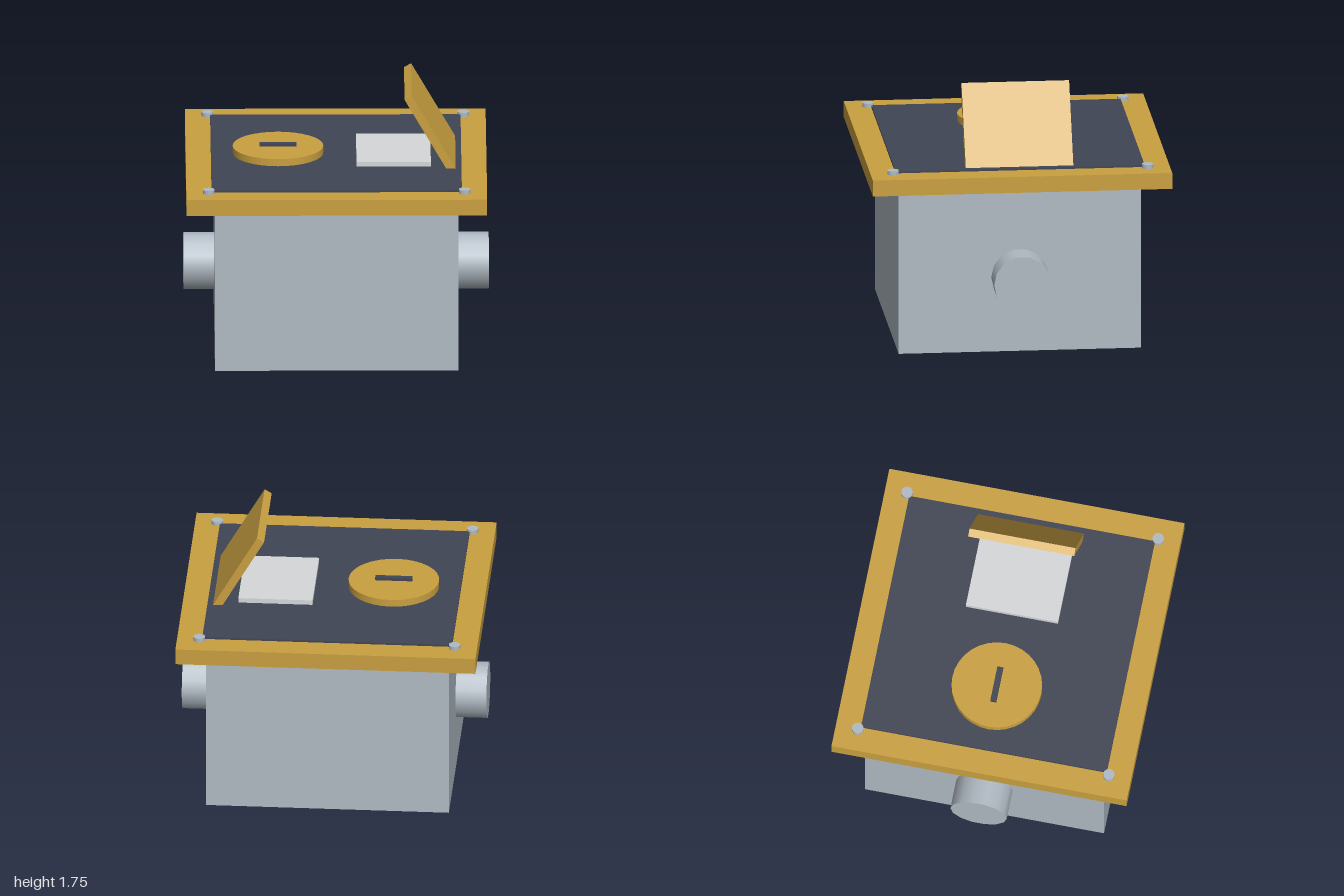
import * as THREE from 'three';

const material = (name, color) => {
  const m = new THREE.MeshStandardMaterial({ color });
  m.name = name;
  return m;
};

export function createModel() {
  const steel = material('steel grey', 0xb0bac3);
  const brass = material('brass', 0xc9a040);
  const slate = material('dark slate', 0x3f4553);
  const pale = material('pale grey', 0xd5d8da);

  const group = new THREE.Group();
  group.name = 'floorBox';

  const add = (name, geometry, mat, x, y, z) => {
    const mesh = new THREE.Mesh(geometry, mat);
    mesh.name = name;
    mesh.position.set(x, y, z);
    group.add(mesh);
    return mesh;
  };
  // Box standing between two heights
  const slab = (name, mat, w, d, y0, y1, x = 0) =>
    add(name, new THREE.BoxGeometry(w, y1 - y0, d), mat, x, (y0 + y1) / 2, 0);

  // Buried housing and cover
  slab('housing', steel, 1.594, 1.594, 0, 1.11);
  slab('coverFrame', brass, 1.97, 1.97, 1.125, 1.233);
  slab('coverPanel', slate, 1.64, 1.64, 1.22, 1.246);

  // Conduit stubs on both sides
  for (const side of [-1, 1]) {
    const stub = add(side > 0 ? 'leftConduit' : 'rightConduit',
      new THREE.CylinderGeometry(0.188, 0.188, 0.21, 14), steel, side * 0.895, 0.505, 0);
    stub.rotation.z = -side * Math.PI / 2;
  }

  // Corner screws
  for (const x of [-0.838, 0.838]) {
    for (const z of [-0.838, 0.838]) {
      add('cornerScrew', new THREE.CylinderGeometry(0.038, 0.038, 0.04, 14), steel, x, 1.24, z);
    }
  }

  // Round cap with its slot bar
  add('roundCap', new THREE.CylinderGeometry(0.297, 0.297, 0.055, 32), brass, -0.38, 1.267, 0);
  slab('capSlot', slate, 0.243, 0.04, 1.285, 1.313, -0.38);

  // Socket plate under the flip lid
  slab('socketPlate', pale, 0.487, 0.615, 1.235, 1.278, 0.376);

  // Flip lid leaning open
  const lid = add('flipLid', new THREE.BoxGeometry(0.054, 0.58, 0.708), brass, 0.6155, 1.481, 0);
  lid.rotation.z = Math.PI / 6;

  return group;
}
